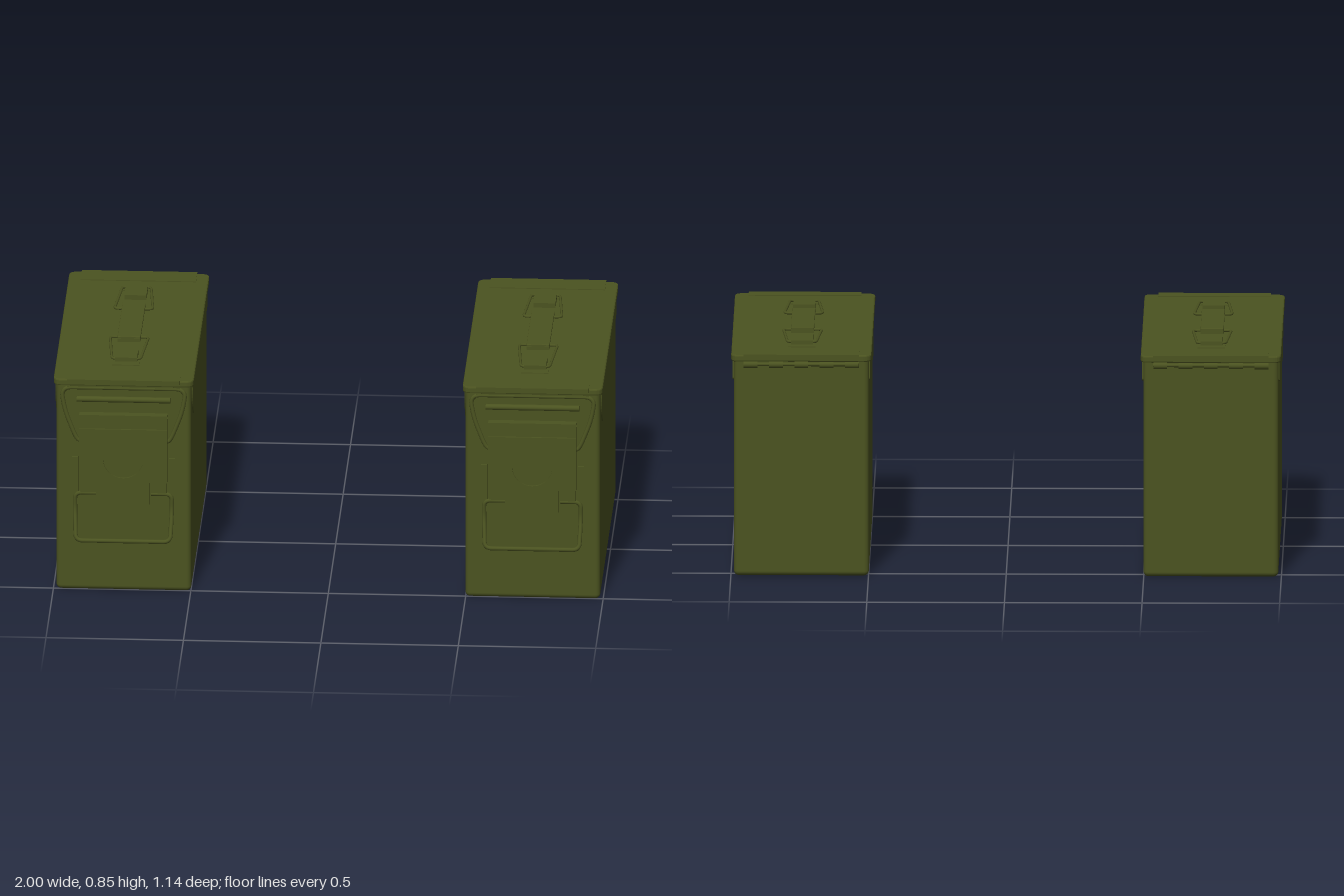
import * as THREE from 'three';
import { RoundedBoxGeometry } from 'three/addons/geometries/RoundedBoxGeometry.js';

const olive = new THREE.MeshStandardMaterial({ color: 0x4b5320 });
olive.name = 'olivePaint';

function add(group, name, geometry, x = 0, y = 0, z = 0) {
  const m = new THREE.Mesh(geometry, olive);
  m.name = name;
  m.position.set(x, y, z);
  group.add(m);
  return m;
}

// box given by its limits in y and z, and its centre and width in x
function block(group, name, x, w, y0, y1, z0, z1) {
  return add(group, name, new THREE.BoxGeometry(w, y1 - y0, z1 - z0), x, (y0 + y1) / 2, (z0 + z1) / 2);
}

// bent wire: straight runs joined by rounded corners
function wire(group, name, pts, radius, bend, closed = false) {
  const p = pts.map(a => new THREE.Vector3(...a));
  const n = p.length;
  const path = new THREE.CurvePath();
  const toward = (a, b) => a.clone().add(b.clone().sub(a).setLength(Math.min(bend, a.distanceTo(b) * 0.45)));
  const start = closed ? toward(p[0], p[1]) : p[0];
  let last = start;
  for (let i = 1; i < (closed ? n + 1 : n - 1); i++) {
    const c = p[i % n], a = toward(c, p[i - 1]), b = toward(c, p[(i + 1) % n]);
    path.add(new THREE.LineCurve3(last, a));
    path.add(new THREE.QuadraticBezierCurve3(a, c, b));
    last = b;
  }
  if (!closed) path.add(new THREE.LineCurve3(last, p[n - 1]));
  return add(group, name, new THREE.TubeGeometry(path, 110, radius, 8, closed));
}

// horizontal slab with rounded corners and softened rims
function slab(w, l, h, r, bevel) {
  const a = w / 2 - bevel, b = l / 2 - bevel, s = new THREE.Shape();
  s.moveTo(-a + r, -b);
  s.lineTo(a - r, -b); s.quadraticCurveTo(a, -b, a, -b + r);
  s.lineTo(a, b - r); s.quadraticCurveTo(a, b, a - r, b);
  s.lineTo(-a + r, b); s.quadraticCurveTo(-a, b, -a, b - r);
  s.lineTo(-a, -b + r); s.quadraticCurveTo(-a, -b, -a + r, -b);
  const g = new THREE.ExtrudeGeometry(s, { depth: h - 2 * bevel, bevelEnabled: true,
    bevelSize: bevel, bevelThickness: bevel, bevelSegments: 2, curveSegments: 6 });
  return g.translate(0, 0, bevel).rotateX(-Math.PI / 2);
}

function makeBody(can) {
  add(can, 'body', new RoundedBoxGeometry(0.49, 0.815, 1.055, 4, 0.018), 0, 0.4075, -0.0175);
  // raised side skirts, formed as one slab running through the body
  const s = new THREE.Shape();
  s.moveTo(0.486, 0.81);
  s.bezierCurveTo(0.48, 0.71, 0.40, 0.625, 0.31, 0.635);
  s.lineTo(-0.515, 0.724);
  s.quadraticCurveTo(-0.525, 0.725, -0.525, 0.735);
  s.lineTo(-0.525, 0.81);
  const g = new THREE.ExtrudeGeometry(s, { depth: 0.5, bevelEnabled: false, curveSegments: 16 });
  add(can, 'sideSkirts', g.translate(0, 0, -0.25).rotateY(-Math.PI / 2));
}

function makeLid(can) {
  add(can, 'lid', slab(0.51, 1.09, 0.025, 0.025, 0.005), 0, 0.799, -0.02);
  block(can, 'lidFrontPlate', 0, 0.41, 0.81, 0.827, 0.475, 0.534);
  block(can, 'lidRearPlate', 0, 0.42, 0.81, 0.827, -0.57, -0.475);
  // rear hinge: fixed leaf, pin and alternating knuckles
  block(can, 'hingeLeaf', 0, 0.42, 0.725, 0.8, -0.548, -0.53);
  const pin = add(can, 'hingePin', new THREE.CylinderGeometry(0.007, 0.007, 0.42, 10), 0, 0.789, -0.557);
  pin.rotation.z = Math.PI / 2;
  for (let i = 0; i < 5; i++) {
    const k = add(can, 'hingeKnuckle', new THREE.CylinderGeometry(0.013, 0.013, 0.05, 12), (i - 2) * 0.092, 0.788, -0.556);
    k.rotation.z = Math.PI / 2;
  }
}

function makeHandle(can) {
  const handle = new THREE.Group();
  handle.name = 'carryHandle';
  handle.position.z = -0.024;
  can.add(handle);
  add(handle, 'handleGrip', slab(0.084, 0.345, 0.01, 0.004, 0.002), 0, 0.839, 0);
  for (const s of [1, -1]) {
    // tapered wire link from the lid anchor to the grip
    wire(handle, 'handleLink', [[0, 0.836, s * 0.361], [0.052, 0.836, s * 0.361], [0.07, 0.836, s * 0.142],
      [-0.07, 0.836, s * 0.142], [-0.052, 0.836, s * 0.361]], 0.005, 0.018, true);
    block(handle, 'linkAnchor', 0, 0.08, 0.82, 0.842, s * 0.315 - 0.052, s * 0.315 + 0.052);
    block(handle, 'gripEnd', 0, 0.084, 0.829, 0.842, s * 0.155 - 0.02, s * 0.155 + 0.02);
    block(handle, 'anchorPad', 0, 0.1, 0.82, 0.827, s * 0.375 - 0.025, s * 0.375 + 0.025);
  }
}

function makeLatch(can) {
  const latch = new THREE.Group();
  latch.name = 'frontLatch';
  can.add(latch);
  // cover plate with a round opening and a narrower lower tongue
  const s = new THREE.Shape([[-0.095, 0.35], [0.095, 0.35], [0.095, 0.435], [0.16, 0.435], [0.16, 0.64],
    [-0.16, 0.64], [-0.16, 0.435], [-0.095, 0.435]].map(p => new THREE.Vector2(...p)));
  s.holes.push(new THREE.Path().absarc(0, 0.524, 0.073, 0, Math.PI * 2, true));
  add(latch, 'latchCover', new THREE.ExtrudeGeometry(s, { depth: 0.007, bevelEnabled: false, curveSegments: 24 }), 0, 0, 0.54);
  block(latch, 'latchBacking', 0, 0.3, 0.43, 0.66, 0.505, 0.528);
  for (const x of [1, -1]) {
    block(latch, 'latchCheek', x * 0.154, 0.012, 0.435, 0.68, 0.505, 0.541);
    block(latch, 'hingeTab', x * 0.176, 0.022, 0.385, 0.52, 0.505, 0.522);
    block(latch, 'lowerTab', x * 0.125, 0.066, 0.39, 0.435, 0.505, 0.533);
  }
  // folded upper hook
  block(latch, 'latchHookFace', 0, 0.32, 0.655, 0.695, 0.542, 0.55);
  block(latch, 'latchHookTop', 0, 0.32, 0.688, 0.696, 0.505, 0.55);
  const flare = new THREE.Shape([[-0.155, 0.655], [0.155, 0.655], [0.17, 0.745], [-0.17, 0.745]]
    .map(p => new THREE.Vector2(...p)));
  add(latch, 'latchFlare', new THREE.ExtrudeGeometry(flare, { depth: 0.014, bevelEnabled: false }), 0, 0, 0.505);
  const roll = add(latch, 'latchRoll', new THREE.CylinderGeometry(0.011, 0.011, 0.34, 12), 0, 0.745, 0.514);
  roll.rotation.z = Math.PI / 2;
  // upper wire that pulls on the lid
  wire(latch, 'closingWire', [[-0.15, 0.585, 0.522], [-0.17, 0.59, 0.522], [-0.213, 0.70, 0.519], [-0.228, 0.79, 0.516],
    [0.228, 0.79, 0.516], [0.213, 0.70, 0.519], [0.17, 0.59, 0.522], [0.15, 0.585, 0.522]], 0.008, 0.04);
  // catch on the lid for the wire
  block(latch, 'lidCatch', 0, 0.41, 0.775, 0.805, 0.505, 0.522);
  // lower pull loop, bent outwards
  wire(latch, 'pullLoop', [[-0.10, 0.385, 0.526], [-0.176, 0.385, 0.526], [-0.176, 0.32, 0.522], [-0.172, 0.212, 0.561],
    [0.172, 0.212, 0.561], [0.176, 0.32, 0.522], [0.176, 0.385, 0.526], [0.10, 0.385, 0.526]], 0.008, 0.025);
}

export function createModel() {
  const model = new THREE.Group();
  model.name = 'storageCans';
  for (const side of [1, -1]) {
    const can = new THREE.Group();
    can.name = side > 0 ? 'leftCan' : 'rightCan';
    can.position.x = side * 0.744;
    makeBody(can);
    makeLid(can);
    makeHandle(can);
    makeLatch(can);
    model.add(can);
  }
  return model;
}
